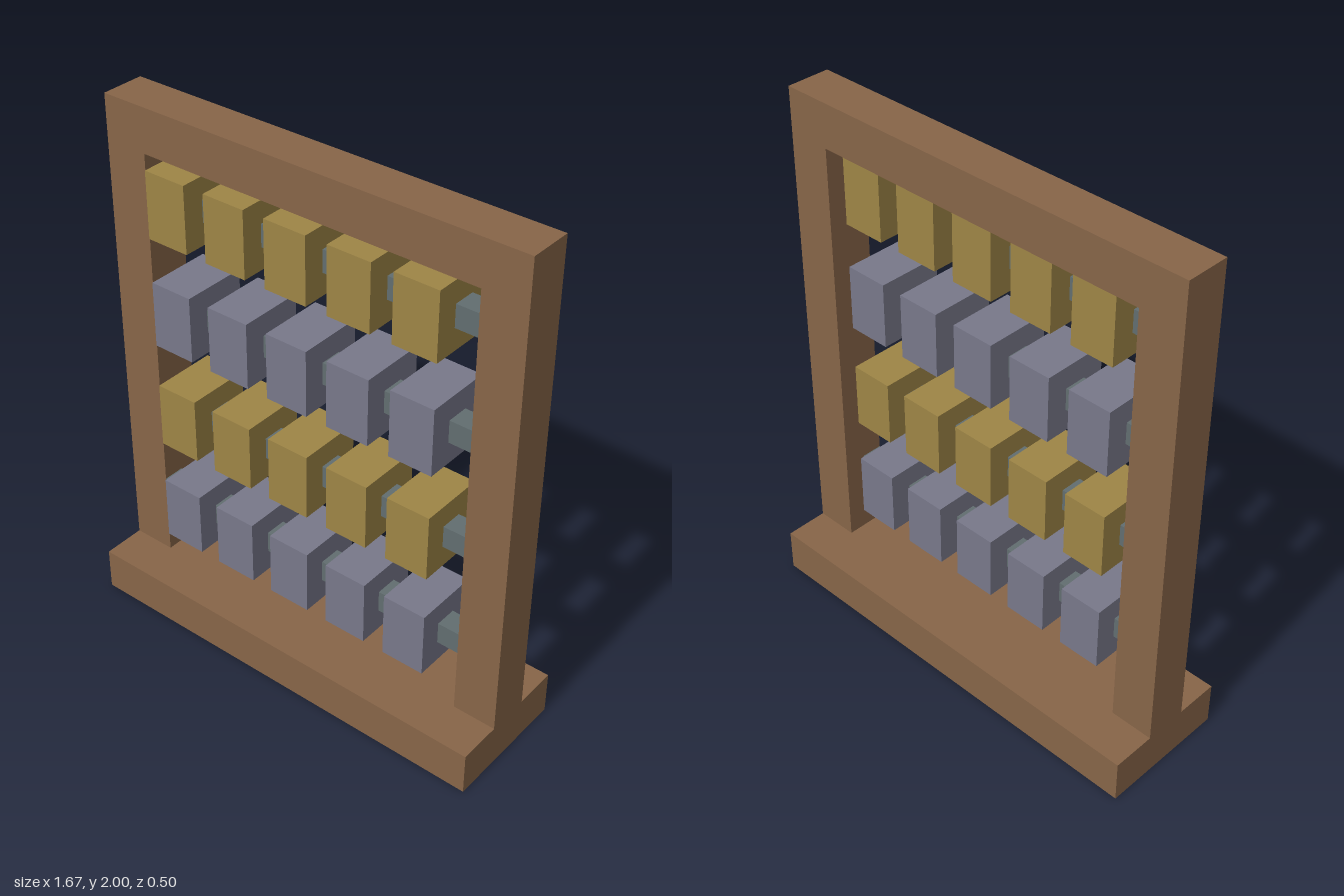
import * as THREE from 'three';

const U = 1 / 12; // grid unit: every size below is a whole number of these

const material = (color) => new THREE.MeshStandardMaterial({ color });

// Box given by its min and max corners in grid units
function box(name, mat, [x0, y0, z0], [x1, y1, z1]) {
  const geometry = new THREE.BoxGeometry((x1 - x0) * U, (y1 - y0) * U, (z1 - z0) * U);
  const mesh = new THREE.Mesh(geometry, mat);
  mesh.position.set((x0 + x1) / 2 * U, (y0 + y1) / 2 * U, (z0 + z1) / 2 * U);
  mesh.name = name;
  return mesh;
}

export function createModel() {
  const group = new THREE.Group();
  group.name = 'abacus';

  const wood = material(0x876548);
  const metal = material(0x626e70);
  const gold = material(0x9e8546);
  const slate = material(0x78788a);

  // Foot
  group.add(box('base', wood, [-10, 0, -3], [10, 2, 3]));

  // Two posts and top rail as one upside-down U
  const outline = [[-10, 2], [-8, 2], [-8, 22], [8, 22], [8, 2], [10, 2], [10, 24], [-10, 24]];
  const shape = new THREE.Shape(outline.map(([x, y]) => new THREE.Vector2(x * U, y * U)));
  const frame = new THREE.Mesh(
    new THREE.ExtrudeGeometry(shape, { depth: 2 * U, bevelEnabled: false }), wood);
  frame.position.z = -U;
  frame.name = 'frame';
  group.add(frame);

  // Four rods, each carrying five beads, in alternating colours
  for (let row = 0; row < 4; row++) {
    const y = 5 + row * 5;
    const rowGroup = new THREE.Group();
    rowGroup.name = `beadRow${row + 1}`;
    rowGroup.add(box('rod', metal, [-8, y, 0], [8, y + 1, 1]));
    for (let x = -6; x <= 6; x += 3) {
      rowGroup.add(box('bead', row % 2 ? gold : slate, [x - 1, y - 1, -1], [x + 1, y + 2, 2]));
    }
    group.add(rowGroup);
  }

  return group;
}
